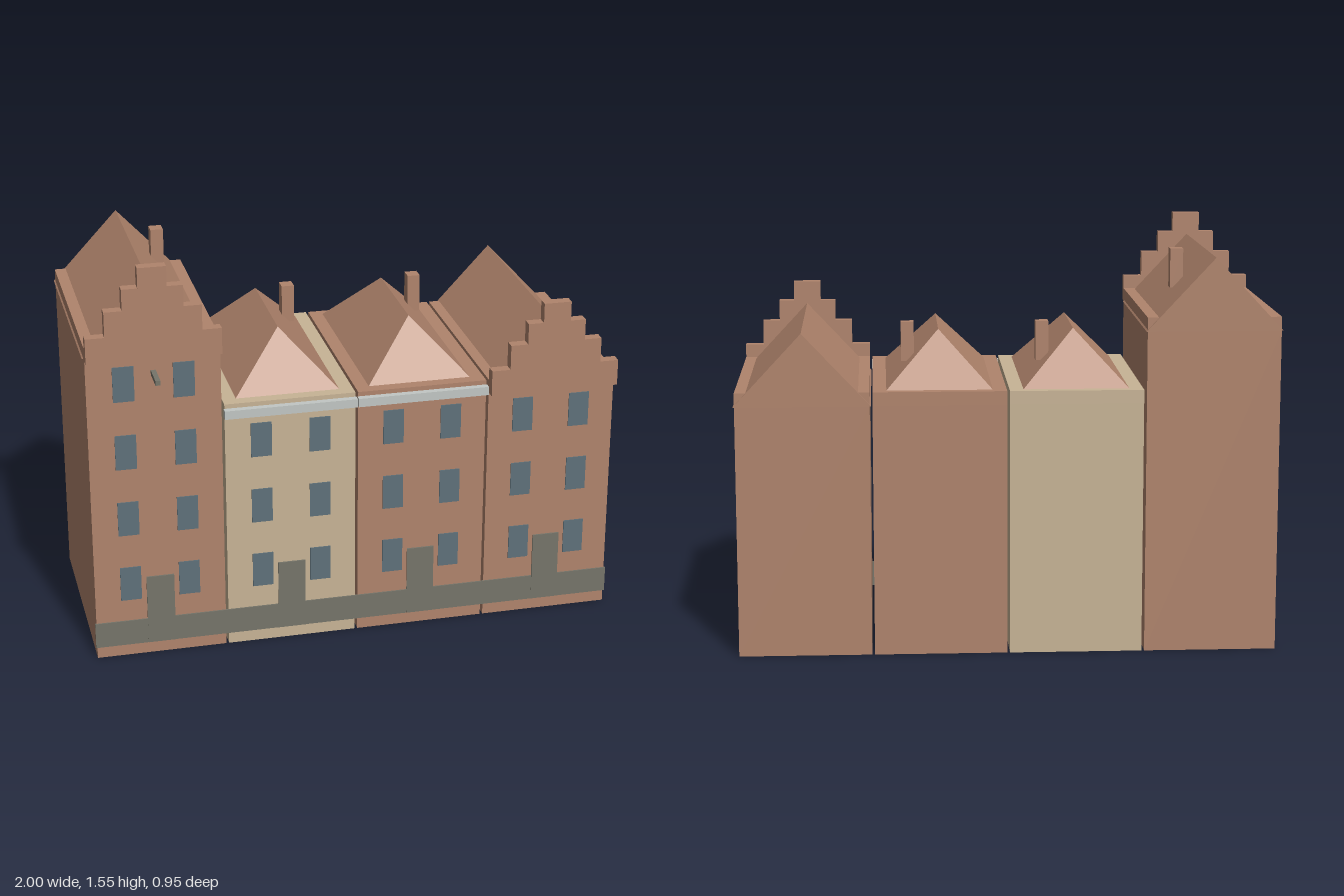
import * as THREE from 'three';

const mat = (name, color, opts = {}) => {
  const m = new THREE.MeshStandardMaterial({ color });
  m.name = name;
  return Object.assign(m, opts);
};

// Box given by its limits on each axis
function box(parent, name, material, [x0, x1], [y0, y1], [z0, z1]) {
  const mesh = new THREE.Mesh(new THREE.BoxGeometry(x1 - x0, y1 - y0, z1 - z0), material);
  mesh.position.set((x0 + x1) / 2, (y0 + y1) / 2, (z0 + z1) / 2);
  mesh.name = name;
  parent.add(mesh);
}

// Ridged roof: rectangular base with a ridge along z (equal lengths make plain gable ends)
function roofGeometry(half, y0, y1, [z0, z1], [r0, r1]) {
  const a = [-half, y0, z1], b = [half, y0, z1], c = [half, y0, z0], d = [-half, y0, z0];
  const f = [0, y1, r1], g = [0, y1, r0];
  const tris = [a, b, f, b, c, g, b, g, f, c, d, g, d, a, f, d, f, g, a, d, c, a, c, b];
  const geo = new THREE.BufferGeometry();
  geo.setAttribute('position', new THREE.Float32BufferAttribute(tris.flat(), 3));
  geo.computeVertexNormals();
  return geo;
}

// Symmetric stepped gable extruded forward from the facade
function gableGeometry() {
  const steps = [[0.245, 0.1], [0.175, 0.195], [0.11, 0.275], [0.052, 0.35]];
  const right = [[0.245, 0]];
  steps.forEach(([w, h], i) => {
    if (i) right.push([w, steps[i - 1][1]]);
    right.push([w, h]);
  });
  const left = right.map(([x, y]) => [-x, y]).reverse();
  const shape = new THREE.Shape([...right, ...left].map(([x, y]) => new THREE.Vector2(x, y)));
  return new THREE.ExtrudeGeometry(shape, { depth: 0.04, bevelEnabled: false });
}

export function createModel() {
  const brick = mat('brick', 0xb0846c);
  const plaster = mat('cream plaster', 0xc8b496);
  const stone = mat('dark stone', 0x76756a);
  const glass = mat('window glass', 0x5f717a);
  const trim = mat('pale cornice', 0xc2c7c4);

  const back = -0.465, front = 0.37, W = 0.245;
  const model = new THREE.Group();
  model.name = 'townhouseRow';

  const houses = [
    { x: -0.75, top: 1.2, floors: 4, wall: brick, gabled: true, chimney: true, beam: true },
    { x: -0.25, top: 0.935, floors: 3, wall: plaster, chimney: true },
    { x: 0.25, top: 0.935, floors: 3, wall: brick, chimney: true },
    { x: 0.75, top: 0.935, floors: 3, wall: brick, gabled: true },
  ];

  houses.forEach(({ x, top, floors, wall, gabled, chimney, beam }, i) => {
    const house = new THREE.Group();
    house.name = `house${i + 1}`;
    house.position.x = x;
    model.add(house);

    // Walls and the slab under the roof
    box(house, 'walls', wall, [-W, W], [0, top], [back, front]);
    box(house, 'roofSlab', wall, [-W, W], [top, top + 0.05], [back, front]);

    // Plinth strip and door
    box(house, 'plinth', stone, [-0.25, 0.25], [0.045, 0.145], [front - 0.002, front + 0.005]);
    box(house, 'door', stone, [-0.052, 0.052], [0.045, 0.32], [front - 0.002, front + 0.006]);

    // Two windows per floor
    for (let f = 0; f < floors; f++) {
      const y = 0.232 + f * 0.267;
      for (const s of [-0.11, 0.11]) {
        box(house, 'window', glass, [s - 0.039, s + 0.039], [y, y + 0.135], [front - 0.002, front + 0.004]);
      }
    }

    // Roof: gable roof behind a stepped gable, or hipped roof with a cornice
    const roof = new THREE.Mesh(
      gabled
        ? roofGeometry(0.25, top, top + 0.268, [-0.475, 0.343], [-0.475, 0.343])
        : roofGeometry(0.194, top + 0.05, 1.185, [-0.43, 0.325], [-0.258, 0.157]),
      brick);
    roof.name = 'roof';
    house.add(roof);
    if (gabled) {
      const gable = new THREE.Mesh(gableGeometry(), wall);
      gable.name = 'steppedGable';
      gable.position.set(0, top, front);
      house.add(gable);
    } else {
      box(house, 'cornice', trim, [-0.248, 0.248], [top, top + 0.033], [front, front + 0.025]);
    }

    // Chimney and hoisting beam
    if (chimney) {
      const y = gabled ? 1.33 : 1.062;
      box(house, 'chimney', brick, [0.09, 0.138], [y, y + 0.146], [-0.24, -0.19]);
    }
    if (beam) box(house, 'hoistBeam', stone, [-0.009, 0.009], [1.128, 1.146], [front, 0.475]);
  });
  return model;
}
